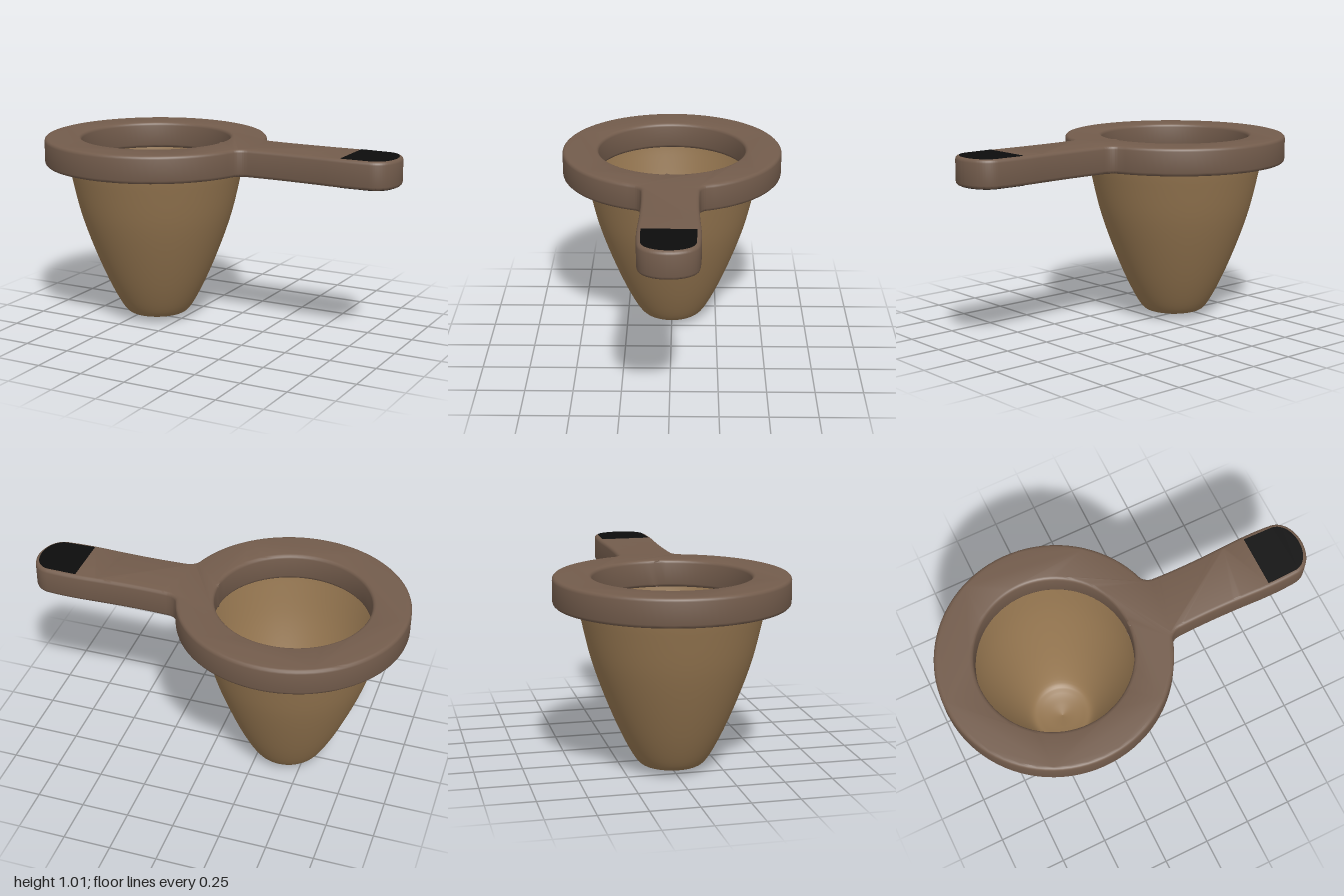
import * as THREE from 'three';
import { toCreasedNormals } from 'three/addons/utils/BufferGeometryUtils.js';

const CX = -0.4, BOTTOM = 0.87, TOP = 1.015, BEVEL = 0.018;

function material(name, color, side = THREE.FrontSide) {
  const m = new THREE.MeshStandardMaterial({ color, side });
  m.name = name;
  return m;
}

// Extrudes a plan outline upwards, starting at height y
function slab(name, shape, y, height, mat, bevel = 0) {
  let geo = new THREE.ExtrudeGeometry(shape, {
    depth: height - 2 * bevel, curveSegments: 40,
    bevelEnabled: bevel > 0, bevelSize: bevel, bevelThickness: bevel,
    bevelOffset: -bevel, bevelSegments: 3,
  });
  geo.rotateX(-Math.PI / 2);
  geo.translate(0, y + bevel, 0);
  geo = toCreasedNormals(geo, 0.6);
  const mesh = new THREE.Mesh(geo, mat);
  mesh.name = name;
  return mesh;
}

export function createModel() {
  const group = new THREE.Group();
  group.name = 'strainer';
  const frameMat = material('brown frame', 0x735c4c);
  const clothMat = material('tan cloth', 0x957650, THREE.DoubleSide);
  const blackMat = material('black inlay', 0x0c0c0c);

  // Ring and handle as one outline with small fillets between them
  const R = 0.597, a = 0.31;
  const frame = new THREE.Shape();
  frame.absarc(CX, 0, R, a, Math.PI * 2 - a, false);
  frame.quadraticCurveTo(0.185, -0.155, 0.22, -0.15);
  frame.quadraticCurveTo(0.42, -0.14, 0.68, -0.154);
  frame.quadraticCurveTo(0.8, -0.158, 0.89, -0.15);
  frame.bezierCurveTo(0.97, -0.145, 1, -0.06, 1, 0);
  frame.bezierCurveTo(1, 0.06, 0.97, 0.145, 0.89, 0.15);
  frame.quadraticCurveTo(0.8, 0.158, 0.68, 0.154);
  frame.quadraticCurveTo(0.42, 0.14, 0.22, 0.15);
  frame.quadraticCurveTo(0.185, 0.155, CX + R * Math.cos(a), R * Math.sin(a));
  const hole = new THREE.Path();
  hole.absarc(CX, 0, 0.4, 0, Math.PI * 2, true);
  frame.holes.push(hole);
  group.add(slab('frame', frame, BOTTOM, TOP - BOTTOM, frameMat, BEVEL));

  // Black inlay on both faces of the handle end
  const inlay = new THREE.Shape();
  inlay.moveTo(0.735, -0.135);
  inlay.lineTo(0.89, -0.131);
  inlay.bezierCurveTo(0.955, -0.126, 0.981, -0.055, 0.981, 0);
  inlay.bezierCurveTo(0.981, 0.055, 0.955, 0.126, 0.89, 0.131);
  inlay.lineTo(0.735, 0.135);
  inlay.closePath();
  group.add(slab('topInlay', inlay, TOP - 0.002, 0.004, blackMat));
  group.add(slab('bottomInlay', inlay, BOTTOM - 0.002, 0.004, blackMat));

  // Open cloth bag with a shallow pointed base
  const curve = new THREE.SplineCurve([
    [0.06, 0.015], [0.125, 0.03], [0.18, 0.06], [0.258, 0.2],
    [0.342, 0.4], [0.41, 0.6], [0.457, 0.8], [0.471, 0.88],
  ].map(([r, y]) => new THREE.Vector2(r, y)));
  const profile = [new THREE.Vector2(0, 0.003), ...curve.getPoints(36)];
  const bag = new THREE.Mesh(new THREE.LatheGeometry(profile, 64), clothMat);
  bag.position.x = CX;
  bag.name = 'clothBag';
  group.add(bag);

  return group;
}
